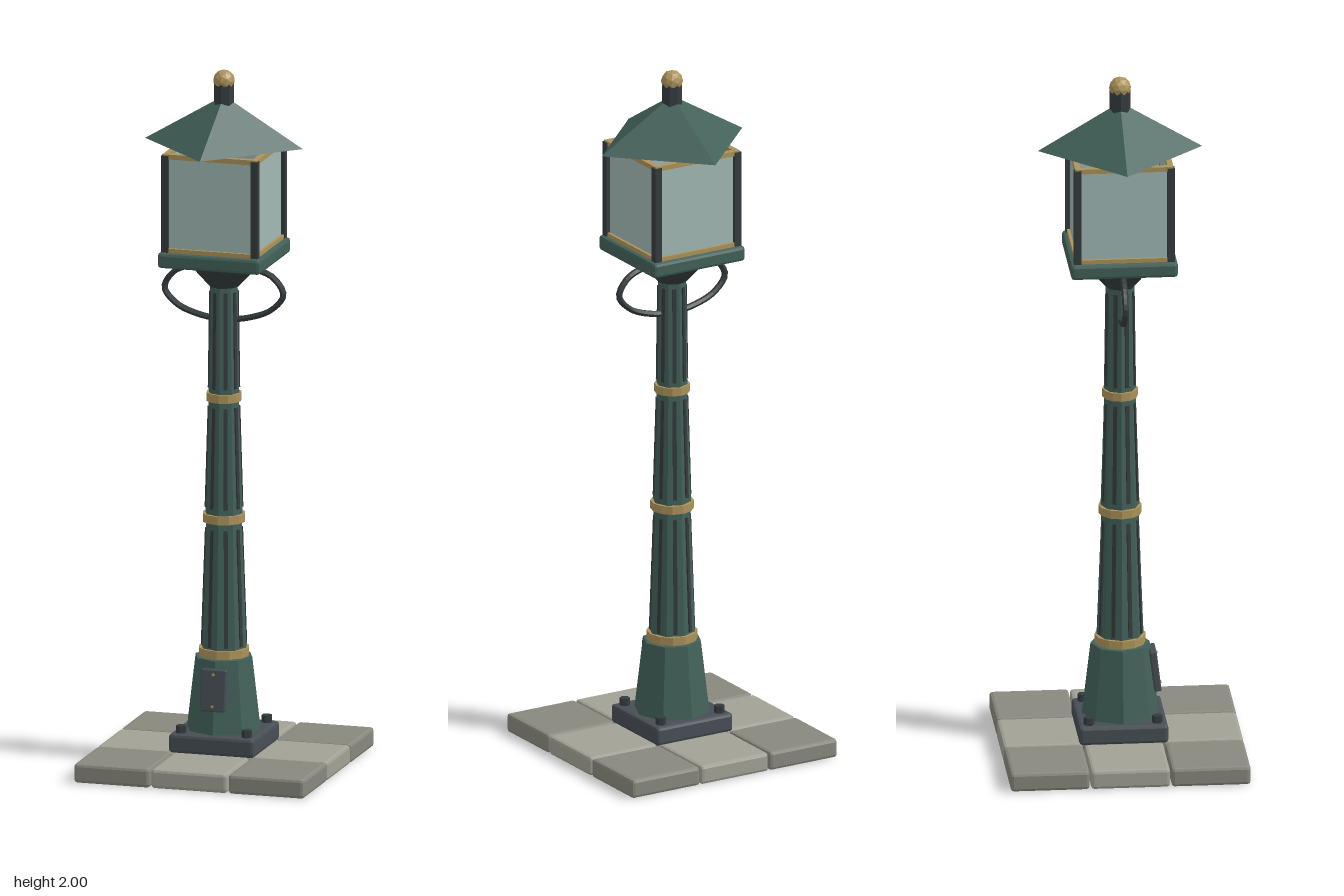
import * as THREE from 'three';
import { RoundedBoxGeometry } from 'three/addons/geometries/RoundedBoxGeometry.js';

const mat = (color) => new THREE.MeshStandardMaterial({ color, flatShading: true });
const green = mat(0x426159), iron = mat(0x343b3e), steel = mat(0x474e54), brass = mat(0xac935a);
const glass = mat(0xa0b8b3), bulbMat = mat(0xf0e6c8);
const stoneDark = mat(0x88887e), stoneLight = mat(0xa2a195);

export function createModel() {
  const model = new THREE.Group();
  const add = (name, geometry, material, x = 0, y = 0, z = 0, parent = model) => {
    const mesh = new THREE.Mesh(geometry, material);
    mesh.name = name;
    mesh.position.set(x, y, z);
    parent.add(mesh);
    return mesh;
  };
  // Tapered column between two heights
  const column = (name, material, rTop, rBottom, y0, y1, sides = 8) =>
    add(name, new THREE.CylinderGeometry(rTop, rBottom, y1 - y0, sides), material, 0, (y0 + y1) / 2, 0);

  // Paving: 3 x 3 bevelled slabs
  for (let i = -1; i <= 1; i++) for (let j = -1; j <= 1; j++) {
    add('pavingSlab', new RoundedBoxGeometry(0.222, 0.055, 0.222, 1, 0.009),
      (i + j) % 2 === 0 ? stoneDark : stoneLight, i * 0.226, 0.0275, j * 0.226);
  }

  // Base plate with corner bolts
  add('basePlate', new RoundedBoxGeometry(0.25, 0.054, 0.25, 1, 0.009), steel, 0, 0.08, 0);
  for (const x of [-0.096, 0.096]) for (const z of [-0.096, 0.096]) {
    add('bolt', new THREE.CylinderGeometry(0.015, 0.015, 0.022, 6), iron, x, 0.117, z);
  }

  // Pedestal and its access door
  column('pedestal', green, 0.083, 0.108, 0.105, 0.315);
  const door = new THREE.Group();
  door.name = 'accessDoor';
  door.position.set(0, 0.235, 0.097);
  door.rotation.x = -0.12;
  model.add(door);
  add('doorPanel', new RoundedBoxGeometry(0.075, 0.12, 0.02, 1, 0.004), steel, 0, 0, 0, door);
  for (const y of [-0.045, 0.045]) {
    add('doorScrew', new THREE.CylinderGeometry(0.004, 0.004, 0.006, 6), brass, 0, y, 0.011, door).rotation.x = Math.PI / 2;
  }

  // Post sections, each with a rib on every facet
  const sections = [
    [0.315, 0.715, 0.067, 0.052],
    [0.715, 1.06, 0.055, 0.044],
    [1.06, 1.39, 0.045, 0.04],
  ];
  for (const [y0, y1, rBottom, rTop] of sections) {
    column('postSection', green, rTop, rBottom, y0, y1);
    const inner = Math.cos(Math.PI / 8);
    for (let k = 0; k < 8; k++) {
      const holder = new THREE.Group();
      holder.name = 'postRib';
      holder.rotation.y = (k + 0.5) * Math.PI / 4;
      model.add(holder);
      const rib = add('rib', new THREE.BoxGeometry(0.011, (y1 - y0) * 0.84, 0.008), iron,
        0, (y0 + y1) / 2, inner * (rTop + rBottom) / 2, holder);
      rib.rotation.x = -Math.atan(inner * (rBottom - rTop) / (y1 - y0));
    }
  }

  // Brass collars
  for (const [y, r] of [[0.329, 0.072], [0.714, 0.061], [1.061, 0.05]]) {
    column('collar', brass, r, r, y - 0.012, y + 0.012, 12);
  }

  // Side scroll brackets
  for (const s of [-1, 1]) {
    const path = new THREE.CatmullRomCurve3(
      [[0.035, 1.285], [0.06, 1.288], [0.135, 1.315], [0.174, 1.362], [0.145, 1.41], [0.085, 1.435]]
        .map(([x, y]) => new THREE.Vector3(s * x, y, 0)));
    add('scrollBracket', new THREE.TubeGeometry(path, 20, 0.009, 6), iron);
  }

  // Lantern seat
  column('lanternCup', iron, 0.113, 0.042, 1.378, 1.455);
  add('lanternBase', new RoundedBoxGeometry(0.3, 0.044, 0.3, 1, 0.009), green, 0, 1.473, 0);
  column('lampSocket', iron, 0.035, 0.04, 1.49, 1.53);
  add('bulb', new THREE.IcosahedronGeometry(0.05, 1), bulbMat, 0, 1.58, 0);

  // Four lantern sides: pane, brass rails and corner post
  for (let k = 0; k < 4; k++) {
    const side = new THREE.Group();
    side.name = 'lanternSide';
    side.rotation.y = k * Math.PI / 2;
    model.add(side);
    add('glassPane', new THREE.BoxGeometry(0.25, 0.262, 0.008), glass, 0, 1.636, 0.126, side);
    add('bottomRail', new THREE.BoxGeometry(0.276, 0.014, 0.016), brass, 0, 1.5, 0.13, side);
    add('topRail', new THREE.BoxGeometry(0.276, 0.014, 0.016), brass, 0, 1.771, 0.13, side);
    add('cornerPost', new THREE.BoxGeometry(0.021, 0.278, 0.021), iron, 0.131, 1.635, 0.131, side);
  }

  // Roof, chimney and finial
  column('roof', green, 0.03, 0.231, 1.787, 1.907, 4);
  column('chimney', iron, 0.029, 0.029, 1.89, 1.965);
  add('finial', new THREE.IcosahedronGeometry(0.031, 1), brass, 0, 1.969, 0);

  return model;
}
